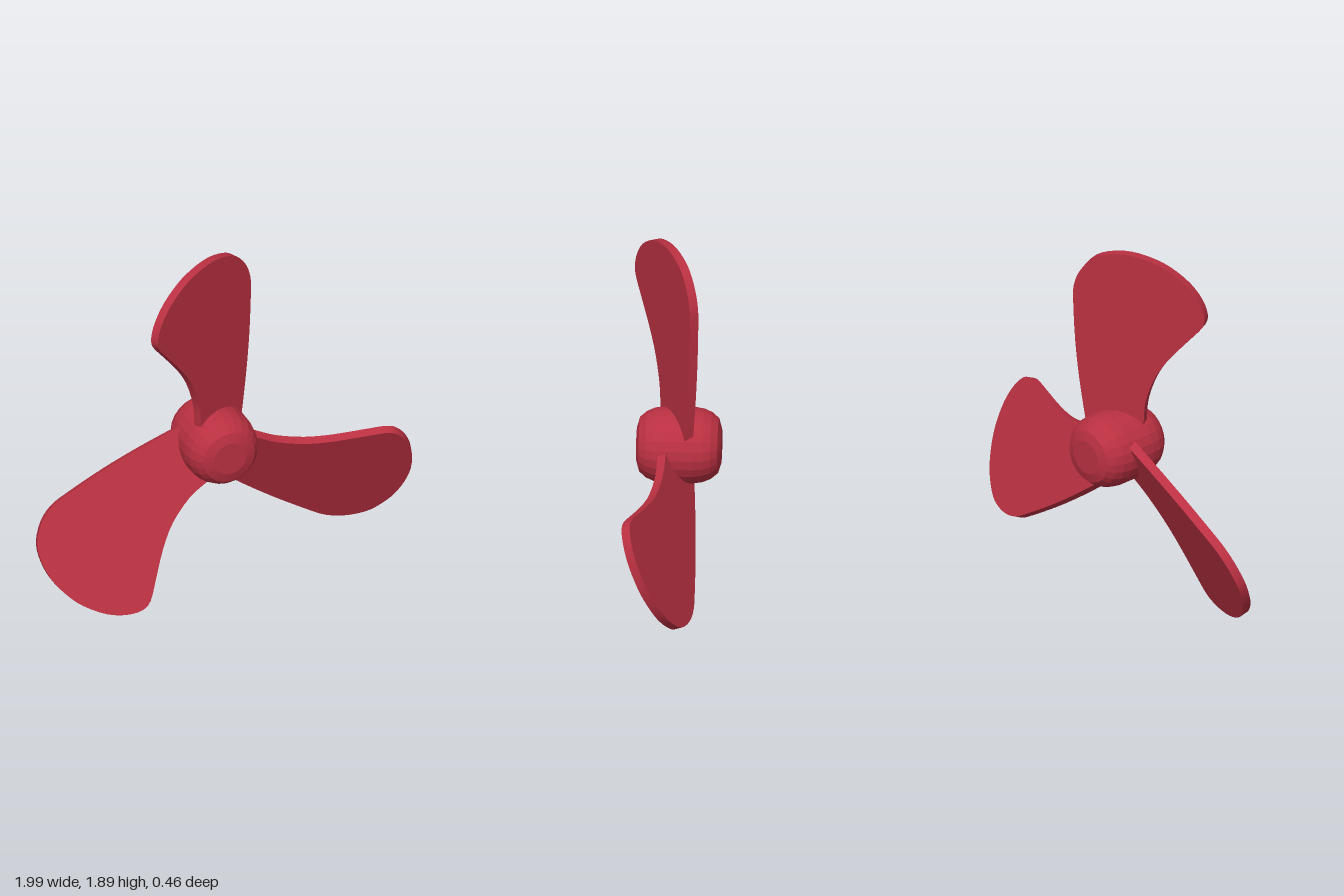
import * as THREE from 'three';
import { toCreasedNormals } from 'three/addons/utils/BufferGeometryUtils.js';

const PITCH = 0.453; // blade twist about its own axis
const THICK = 0.046;

// Blade outline as (x, y) seen from the front, measured from the hub axis
const OUTLINE = [
  [-0.12, 0.05], [-0.125, 0.17], [-0.135, 0.28], [-0.18, 0.42], [-0.25, 0.54],
  [-0.35, 0.67], [-0.41, 0.75], [-0.422, 0.81], [-0.395, 0.89], [-0.335, 0.97],
  [-0.24, 1.04], [-0.15, 1.075], [-0.05, 1.09], [0.04, 1.077], [0.12, 1.04],
  [0.185, 0.96], [0.217, 0.87], [0.22, 0.77], [0.21, 0.55], [0.19, 0.34],
  [0.16, 0.12], [0.145, 0.05],
];

function bladeGeometry() {
  const points = OUTLINE.map(([x, y]) => new THREE.Vector2(x / Math.cos(PITCH), y));
  const shape = new THREE.Shape(new THREE.SplineCurve(points).getPoints(63));
  const geometry = new THREE.ExtrudeGeometry(shape, { depth: THICK, bevelEnabled: false });
  geometry.translate(0, 0, -THICK / 2);
  geometry.rotateY(PITCH);
  return toCreasedNormals(geometry, 0.6);
}

function hubGeometry() {
  // Rounded barrel profile: radius, position along the shaft
  const profile = [
    [0, -0.23], [0.09, -0.23], [0.14, -0.215], [0.17, -0.18], [0.187, -0.14],
    [0.195, -0.09], [0.195, 0.06], [0.187, 0.11], [0.17, 0.15], [0.14, 0.185],
    [0.09, 0.2], [0, 0.2],
  ].map(([r, z]) => new THREE.Vector2(r, z));
  const geometry = new THREE.LatheGeometry(profile, 24).toNonIndexed();
  geometry.rotateX(Math.PI / 2);
  geometry.computeVertexNormals(); // faceted look
  return geometry;
}

export function createModel() {
  const red = new THREE.MeshStandardMaterial({ color: 0xb93041 });
  red.name = 'propeller red';

  const propeller = new THREE.Group();
  propeller.name = 'propeller';
  propeller.position.set(-0.037, 0.81, 0);

  const hub = new THREE.Mesh(hubGeometry(), red);
  hub.name = 'hub';
  propeller.add(hub);

  // Three identical pitched blades around the shaft
  const geometry = bladeGeometry();
  ['topBlade', 'rightBlade', 'leftBlade'].forEach((name, i) => {
    const blade = new THREE.Mesh(geometry, red);
    blade.name = name;
    blade.position.z = 0.005;
    blade.rotation.z = (i * 2 * Math.PI) / 3;
    propeller.add(blade);
  });

  const model = new THREE.Group();
  model.name = 'boatPropeller';
  model.add(propeller);
  return model;
}
